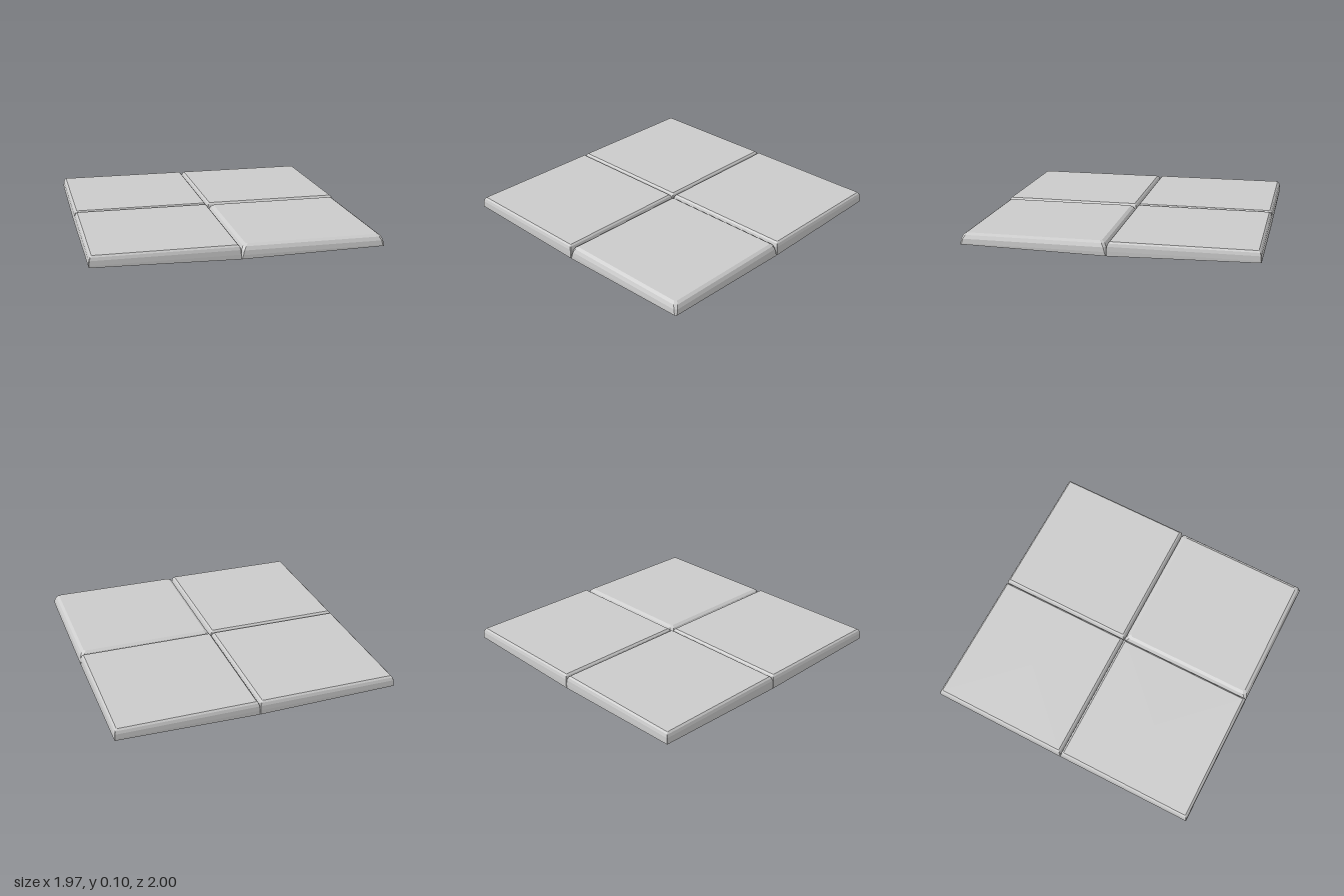
import * as THREE from 'three';

const HALF_X = 0.985, HALF_Z = 1;

// Underside sags from the raised corners down to the centre
function undersideY(x, z) {
  const u = Math.min(1, Math.abs(x) / HALF_X), v = Math.min(1, Math.abs(z) / HALF_Z);
  return 0.003 * (u + v) + 0.016 * u * v;
}

// Rectangle with cut corners, counter-clockwise from above
function outline(x0, x1, z0, z1, cut) {
  return [
    [x0, z1 - cut], [x0 + cut, z1], [x1 - cut, z1], [x1, z1 - cut],
    [x1, z0 + cut], [x1 - cut, z0], [x0 + cut, z0], [x0, z0 + cut],
  ];
}

// One slab, stacked from rings of [inset, height, corner cut]
function slab(name, x0, x1, z0, z1, baseCut, rings, material) {
  const positions = [], index = [];
  const cx = (x0 + x1) / 2, cz = (z0 + z1) / 2, n = 8;
  for (const [x, z] of outline(x0, x1, z0, z1, baseCut)) positions.push(x, undersideY(x, z), z);
  for (const [inset, y, cut] of rings) {
    for (const [x, z] of outline(x0 + inset, x1 - inset, z0 + inset, z1 - inset, cut)) positions.push(x, y, z);
  }
  const last = rings.length * n, bottomCentre = last + n, topCentre = bottomCentre + 1;
  positions.push(cx, undersideY(cx, cz), cz, cx, rings[rings.length - 1][1], cz);
  for (let i = 0; i < n; i++) {
    const j = (i + 1) % n;
    for (let r = 0; r < last; r += n) {
      index.push(r + i, r + j, r + n + j, r + i, r + n + j, r + n + i);
    }
    index.push(bottomCentre, j, i, topCentre, last + i, last + j);
  }
  const geometry = new THREE.BufferGeometry();
  geometry.setAttribute('position', new THREE.Float32BufferAttribute(positions, 3));
  geometry.setIndex(index);
  geometry.computeVertexNormals();
  const mesh = new THREE.Mesh(geometry, material);
  mesh.name = name;
  return mesh;
}

export function createModel() {
  const group = new THREE.Group();
  group.name = 'pavedFloor';
  const material = new THREE.MeshStandardMaterial({ color: 0xcccccc, flatShading: true });

  // Plain slabs have a narrow bevel, the worn one a wider, rounder edge
  const plain = [[0, 0.035, 0.003], [0.002, 0.066, 0.003], [0.009, 0.086, 0.003], [0.02, 0.097, 0.003]];
  const worn = [[0, 0.03, 0.012], [0.004, 0.06, 0.016], [0.016, 0.084, 0.018], [0.036, 0.097, 0.012]];

  group.add(
    slab('backRightSlab', -HALF_X, 0, -HALF_Z, 0, 0.003, plain, material),
    slab('backLeftSlab', 0, HALF_X, -HALF_Z, 0, 0.003, plain, material),
    slab('frontRightSlab', -HALF_X, 0, 0, HALF_Z, 0.003, plain, material),
    slab('frontLeftWornSlab', 0, HALF_X, 0, HALF_Z, 0.003, worn, material),
  );
  return group;
}
